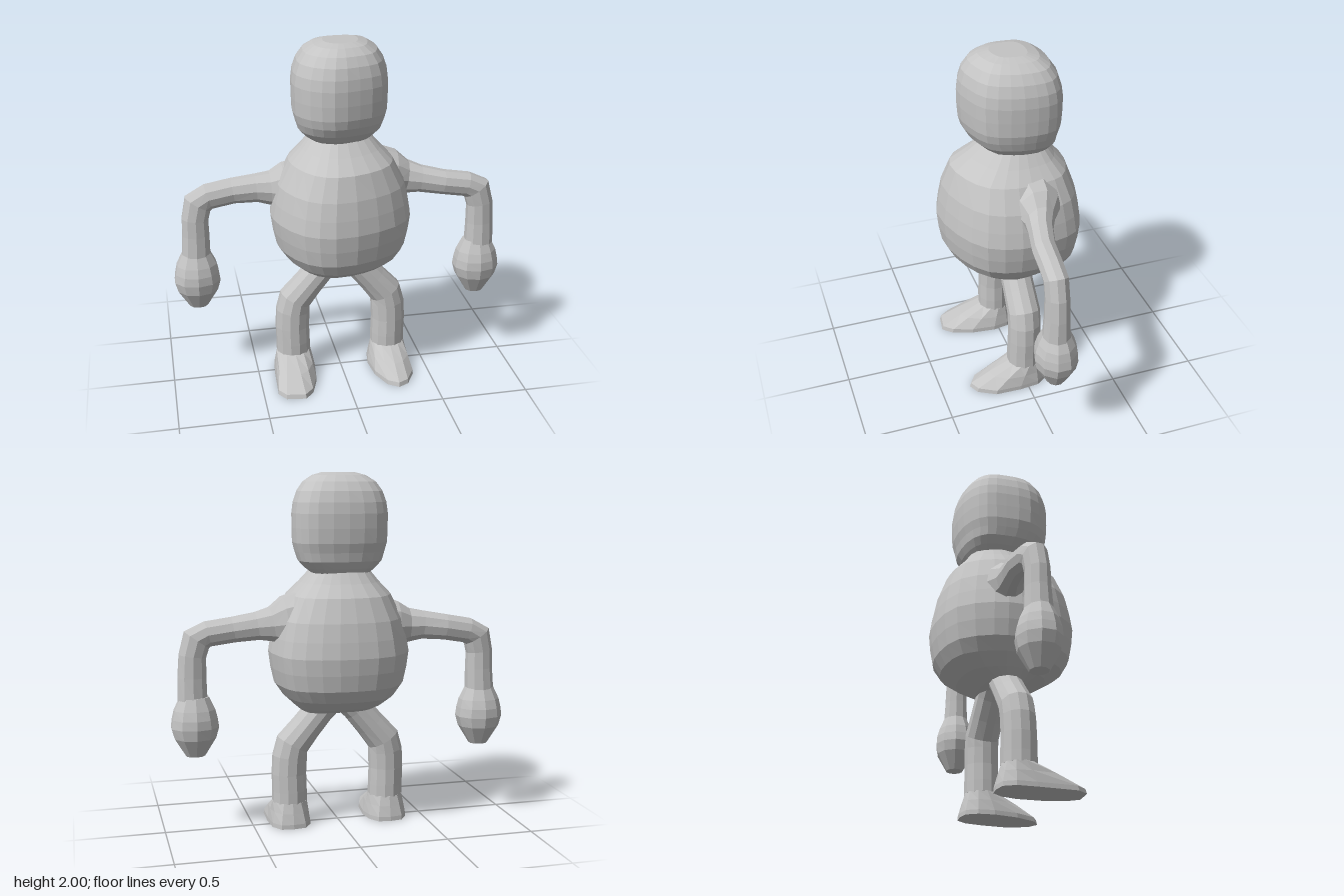
import * as THREE from 'three';

const V = (x, y, z) => new THREE.Vector3(x, y, z);
const Z_AXIS = V(0, 0, 1);

// Faceted skin over a stack of equal-length closed loops, capped at both ends
function loft(name, rings, material) {
  const pos = [];
  const tri = (...pts) => pts.forEach(p => pos.push(p.x, p.y, p.z));
  const centre = ring => ring.reduce((s, p) => s.add(p), V(0, 0, 0)).divideScalar(ring.length);
  const n = rings[0].length, first = rings[0], last = rings[rings.length - 1];
  const c0 = centre(first), c1 = centre(last);
  for (let j = 0; j < n; j++) {
    const k = (j + 1) % n;
    for (let i = 0; i < rings.length - 1; i++) {
      const lo = rings[i], hi = rings[i + 1];
      tri(lo[j], hi[j], hi[k]);
      tri(lo[j], hi[k], lo[k]);
    }
    tri(c0, first[j], first[k]);
    tri(c1, last[k], last[j]);
  }
  const geometry = new THREE.BufferGeometry();
  geometry.setAttribute('position', new THREE.Float32BufferAttribute(pos, 3));
  geometry.computeVertexNormals();
  const mesh = new THREE.Mesh(geometry, material);
  mesh.name = name;
  return mesh;
}

// Rings across a path lying near the xy plane; rows are [x, y, z, radius, depth]
function limbRings(rows, sides) {
  const pts = rows.map(r => V(r[0], r[1], r[2]));
  return rows.map((row, i) => {
    const before = pts[Math.max(i - 1, 0)], after = pts[Math.min(i + 1, pts.length - 1)];
    const t = after.clone().sub(before).setZ(0).normalize();
    const a = t.clone().cross(Z_AXIS);
    return Array.from({ length: sides }, (_, j) => {
      const w = (j + 0.5) / sides * Math.PI * 2;
      return pts[i].clone()
        .addScaledVector(a, Math.cos(w) * row[3])
        .addScaledVector(Z_AXIS, Math.sin(w) * row[4]);
    });
  });
}

// Horizontal rings from one outline; rows are [y, x scale, z scale, z shift]
function bodyRings(outline, rows, sides) {
  const curve = new THREE.CatmullRomCurve3(outline.map(([x, z]) => V(x, 0, z)), true);
  const loop = curve.getPoints(sides).slice(0, sides);
  return rows.map(([y, sx, sz, dz = 0]) => loop.map(p => V(p.x * sx, y, p.z * sz + dz)));
}

const mirror = rings => rings.map(r => r.map(p => V(-p.x, p.y, p.z)).reverse());

// Foot rising from a long sole to a round ankle
function footRings(toe) {
  const sole = [[0, -0.13], [0.07, -0.12], [0.11, -0.06], [0.12, 0.05], ...toe,
    [-0.125, 0.03], [-0.11, -0.06], [-0.07, -0.12]];
  return [[0, 0], [0.025, 0.03], [0.085, 0.5], [0.14, 1]].map(([y, t]) =>
    sole.map(([x, z], k) => {
      const w = k / sole.length * Math.PI * 2;
      return V(0.287 + THREE.MathUtils.lerp(x, Math.sin(w) * 0.1, t), y,
        THREE.MathUtils.lerp(z, -Math.cos(w) * 0.097 - 0.005, t));
    }));
}

export function createModel() {
  const model = new THREE.Group();
  model.name = 'figure';
  const grey = new THREE.MeshStandardMaterial({ color: 0xc4c4c4 });
  grey.name = 'light grey';
  const add = (name, rings) => model.add(loft(name, rings, grey));

  // Pear-shaped torso narrowing to the neck
  const torsoOutline = [[-0.02, -0.39], [0.18, -0.37], [0.33, -0.29], [0.38, -0.15], [0.395, 0.04],
    [0.33, 0.22], [0.15, 0.34], [-0.1, 0.39], [-0.26, 0.32], [-0.37, 0.14], [-0.4, -0.02],
    [-0.37, -0.17], [-0.24, -0.34]];
  add('torso', bodyRings(torsoOutline, [
    [0.66, 0.52, 0.3], [0.7, 0.64, 0.6], [0.76, 0.8, 0.84], [0.83, 0.92, 0.94], [0.92, 0.97, 0.98],
    [1.01, 1, 1], [1.1, 0.96, 0.97], [1.2, 0.9, 0.92], [1.33, 0.73, 0.8],
    [1.4, 0.56, 0.6, -0.015], [1.47, 0.41, 0.43, -0.03],
  ], 26));

  // Rounded, slightly square head
  const headOutline = [[0, -0.27], [0.17, -0.25], [0.25, -0.19], [0.27, -0.08], [0.25, 0.06],
    [0.19, 0.18], [0.06, 0.24], [-0.08, 0.26], [-0.2, 0.2], [-0.265, 0.09], [-0.265, -0.06],
    [-0.24, -0.17], [-0.16, -0.24]];
  add('head', bodyRings(headOutline, [
    [1.45, 0.6, 0.62, -0.03], [1.48, 0.74, 0.74, -0.02], [1.52, 0.88, 0.86, -0.01], [1.57, 0.94, 0.93],
    [1.62, 0.99, 0.98], [1.7, 1, 1], [1.78, 1, 1], [1.84, 0.97, 0.97], [1.9, 0.89, 0.9],
    [1.95, 0.76, 0.77], [1.985, 0.56, 0.58], [2, 0.36, 0.36],
  ], 26));

  // Arms flare at the shoulder, bend at the elbow and hang straight
  const leftArm = [[0.24, 1.19, -0.07, 0.17, 0.15], [0.32, 1.185, -0.07, 0.145, 0.13],
    [0.39, 1.17, -0.055, 0.1, 0.085], [0.47, 1.16, -0.03, 0.08, 0.07], [0.6, 1.14, 0, 0.073, 0.066],
    [0.74, 1.12, 0.01, 0.073, 0.065], [0.8, 1.09, 0.01, 0.085, 0.065], [0.825, 1, 0.01, 0.078, 0.065],
    [0.83, 0.88, 0.01, 0.082, 0.067], [0.83, 0.75, 0.01, 0.085, 0.075]];
  const rightArm = [[0.24, 1.15, -0.08, 0.16, 0.14], [0.32, 1.15, -0.08, 0.14, 0.12],
    [0.39, 1.145, -0.085, 0.1, 0.085], [0.47, 1.145, -0.1, 0.083, 0.07], [0.6, 1.13, -0.12, 0.075, 0.066],
    [0.74, 1.105, -0.12, 0.075, 0.065], [0.8, 1.07, -0.115, 0.085, 0.065], [0.82, 0.98, -0.11, 0.078, 0.065],
    [0.82, 0.88, -0.11, 0.08, 0.067], [0.825, 0.75, -0.11, 0.085, 0.075]];
  add('leftArm', limbRings(leftArm, 10));
  add('rightArm', mirror(limbRings(rightArm, 10)));

  // Bulb-shaped fists tapering downwards
  const hand = (x, z) => limbRings([[0.77, 0.084, 0.07], [0.7, 0.118, 0.1], [0.65, 0.13, 0.115],
    [0.6, 0.137, 0.118], [0.54, 0.12, 0.108], [0.435, 0.055, 0.05]]
    .map(([y, r, d]) => [x, y, z, r, d]), 10);
  add('leftHand', hand(0.82, 0.005));
  add('rightHand', mirror(hand(0.825, -0.11)));

  // Bowed legs with a sharp knee
  const leg = limbRings([[0.04, 0.73, -0.01, 0.085, 0.09], [0.11, 0.66, -0.01, 0.085, 0.09],
    [0.19, 0.565, -0.01, 0.088, 0.092], [0.27, 0.47, -0.01, 0.098, 0.095],
    [0.285, 0.4, -0.008, 0.1, 0.095], [0.29, 0.3, -0.006, 0.1, 0.095],
    [0.287, 0.2, -0.005, 0.1, 0.097], [0.287, 0.135, -0.005, 0.1, 0.097]], 12);
  add('leftLeg', leg);
  add('rightLeg', mirror(leg));

  // Feet, the right one turned out a little more
  add('leftFoot', footRings([[0.115, 0.2], [0.06, 0.3], [0, 0.33], [-0.06, 0.29], [-0.11, 0.17]]));
  add('rightFoot', mirror(footRings([[0.13, 0.27], [0.09, 0.33], [-0.02, 0.345], [-0.07, 0.29], [-0.11, 0.17]])));

  return model;
}
